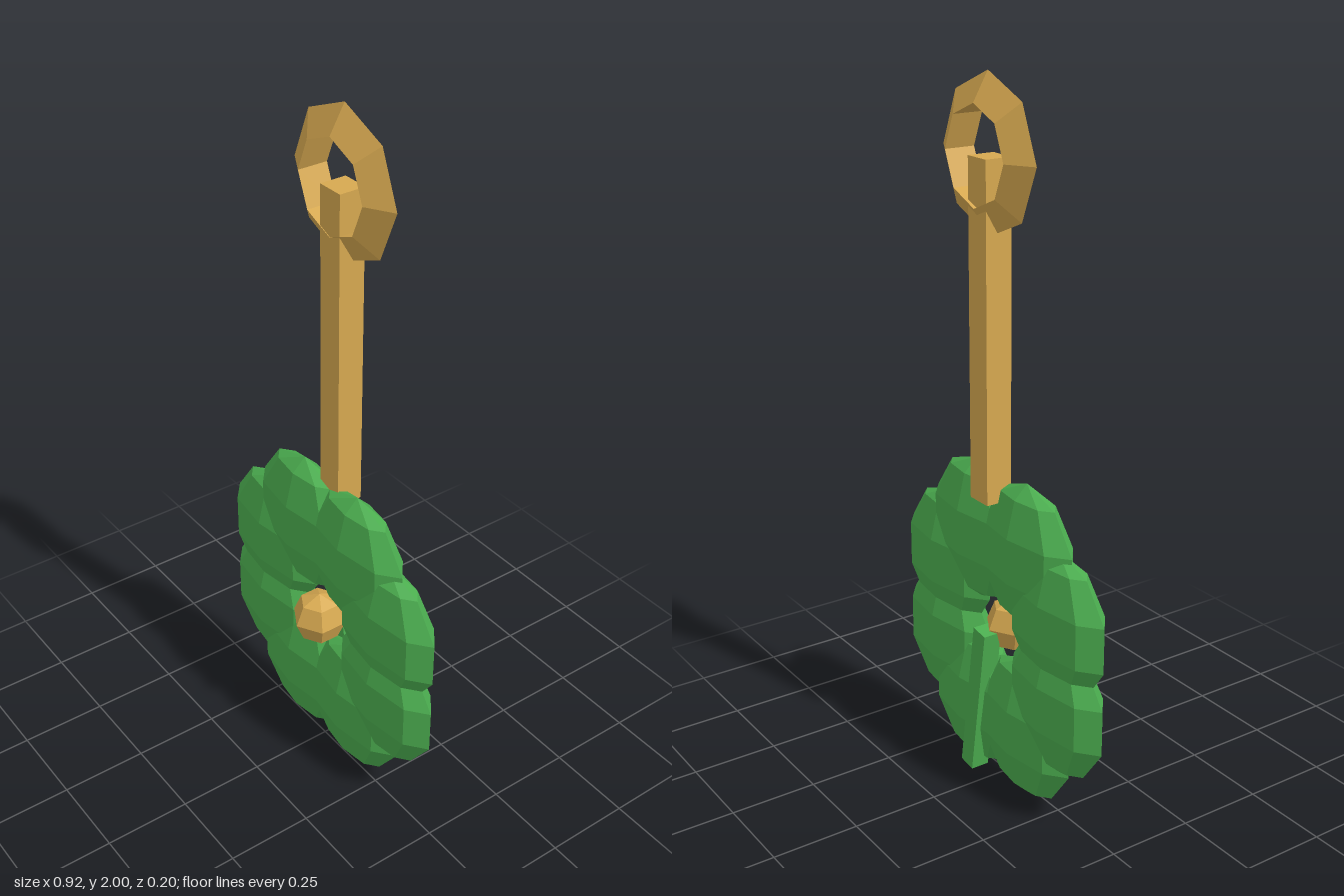
import * as THREE from 'three';

export function createModel() {
  const model = new THREE.Group();
  model.name = 'cloverCharm';
  const green = new THREE.MeshStandardMaterial({ color: 0x4caf50, flatShading: true });
  green.name = 'leafGreen';
  const gold = new THREE.MeshStandardMaterial({ color: 0xd6a850, flatShading: true });
  gold.name = 'gold';

  function add(name, geometry, material, x, y, z, parent = model) {
    const mesh = new THREE.Mesh(geometry, material);
    mesh.name = name;
    mesh.position.set(x, y, z);
    parent.add(mesh);
    return mesh;
  }

  // Four leaves, each made of two flattened lobes
  const centerY = 0.475, reach = 0.26, spread = 0.12;
  const lobe = new THREE.SphereGeometry(0.21, 8, 5).scale(1, 1, 1 / 3);
  const leaves = [['topLeaf', 0, 1], ['leftLeaf', 1, 0], ['bottomLeaf', 0, -1], ['rightLeaf', -1, 0]];
  for (const [name, dx, dy] of leaves) {
    const leaf = new THREE.Group();
    leaf.name = name;
    model.add(leaf);
    for (const s of [-1, 1]) {
      add('lobe', lobe, green, dx * reach + dy * s * spread, centerY + dy * reach + dx * s * spread, -0.018, leaf);
    }
  }

  // Slanted stem behind the leaves
  const stem = add('stem', new THREE.BoxGeometry(0.055, 0.46, 0.055), green, 0.043, 0.245, -0.0605);
  stem.rotation.z = 0.15;

  // Bead in the middle
  const bead = add('centerBead', new THREE.SphereGeometry(0.08, 6, 4), gold, 0, centerY, 0.02);
  bead.rotation.y = Math.PI / 2;

  // Hanging bar and three-sided ring
  add('hangingBar', new THREE.BoxGeometry(0.08, 0.92, 0.077), gold, 0, 1.33, -0.0525);
  add('ring', new THREE.TorusGeometry(0.156, 0.051, 3, 8), gold, 0, 1.793, -0.0565);

  return model;
}
